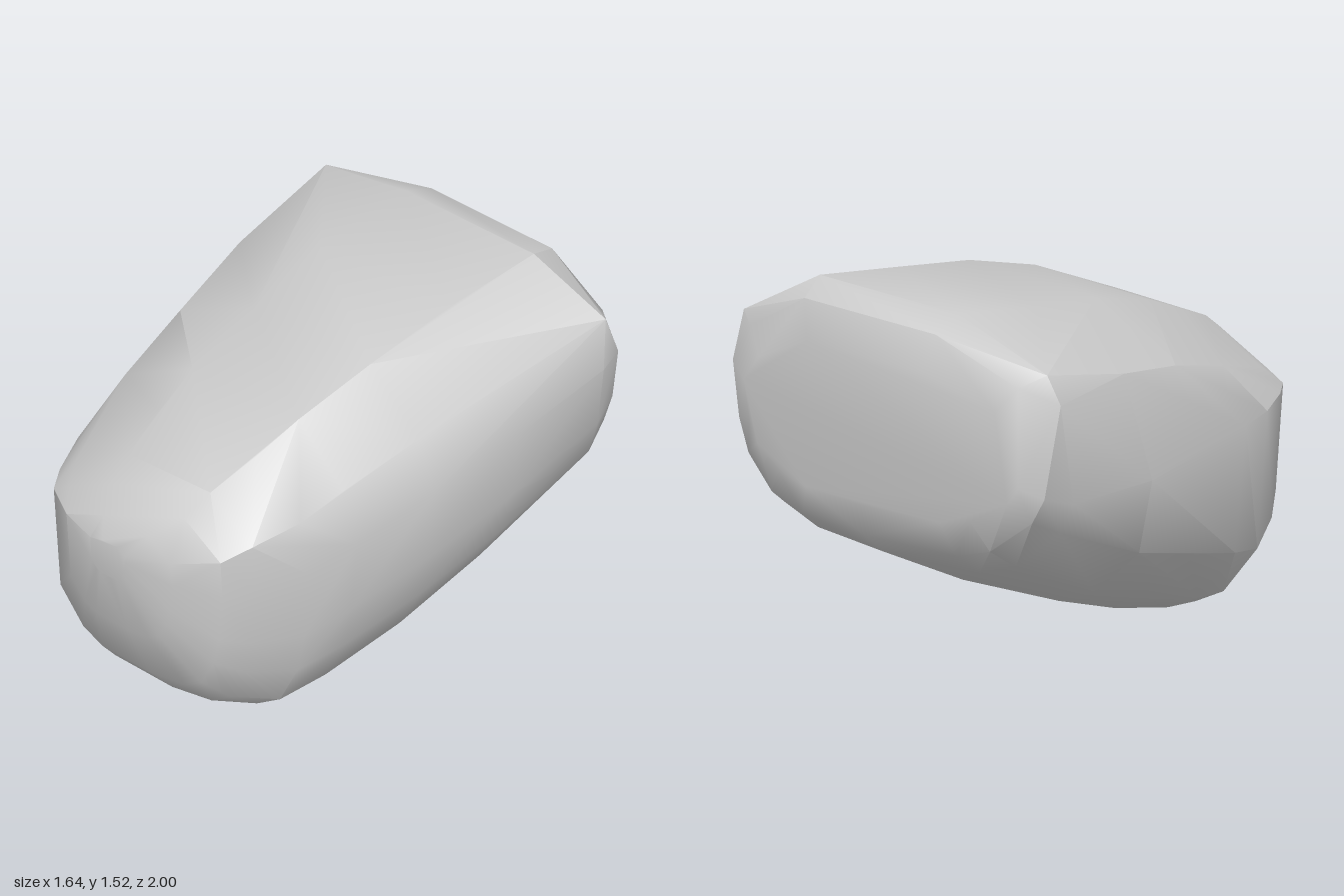
import * as THREE from 'three';
import { ConvexGeometry } from 'three/addons/geometries/ConvexGeometry.js';
import { toCreasedNormals } from 'three/addons/utils/BufferGeometryUtils.js';

const { lerp, smoothstep } = THREE.MathUtils;

// Shared lopsided outline: across from -1 to 1, height from 0 to 1
const outline = [
  [-0.92, 0.23], [-0.65, 0.06], [-0.43, 0.005], [0.15, 0], [0.55, 0.035], [0.75, 0.1], [0.9, 0.25],
  [0.96, 0.4], [1, 0.65], [0.89, 0.82], [0.54, 1], [-0.3, 0.975], [-0.83, 0.82],
];

// Extent of the outline at each station, nose to back: z, left edge, right edge, bottom, top
const stations = [
  [1, -0.18, 0, 0.7, 0.86],
  [0.95, -0.35, 0.2, 0.45, 0.94],
  [0.86, -0.5, 0.38, 0.22, 1.03],
  [0.75, -0.57, 0.45, 0.1, 1.11],
  [0.55, -0.66, 0.545, 0, 1.2],
  [0.35, -0.71, 0.61, 0.03, 1.29],
  [0, -0.76, 0.69, 0.12, 1.39],
  [-0.4, -0.83, 0.755, 0.26, 1.46],
  [-0.82, -0.77, 0.815, 0.47, 1.525],
  [-0.95, -0.73, 0.77, 0.57, 1.47],
  [-1, -0.64, 0.68, 0.71, 1.32],
];

// Sharper shoulders at the back
const shoulders = [[0.77, 1.34, -0.88], [-0.69, 1.36, -0.88], [-0.755, 1.25, -0.88]];

// The upper right corner grows squarer towards the nose
function squareCorner(u, v, z) {
  const w = 2 * v - 1;
  if (u <= 0 || w <= 0) return [u, v];
  const grow = lerp(1, 1 / Math.max(u, w), 0.8 * smoothstep(z, 0.3, 0.85));
  return [u * grow, (w * grow + 1) / 2];
}

export function createModel() {
  const points = shoulders.map((p) => new THREE.Vector3(...p));
  for (const [z, left, right, bottom, top] of stations) {
    for (const corner of outline) {
      const [u, v] = squareCorner(...corner, z);
      points.push(new THREE.Vector3(lerp(left, right, (u + 1) / 2), lerp(bottom, top, v), z));
    }
    // Level ridge along the left flank
    points.push(new THREE.Vector3(left, Math.max(0.84, lerp(bottom, top, 0.35)), z));
  }

  // Convex skin over the stations, softened across shallow edges only
  const geometry = toCreasedNormals(new ConvexGeometry(points), 0.6);
  const boulder = new THREE.Mesh(geometry, new THREE.MeshStandardMaterial({ color: 0xcccccc }));
  boulder.name = 'boulder';

  const group = new THREE.Group();
  group.name = 'rock';
  group.add(boulder);
  return group;
}
